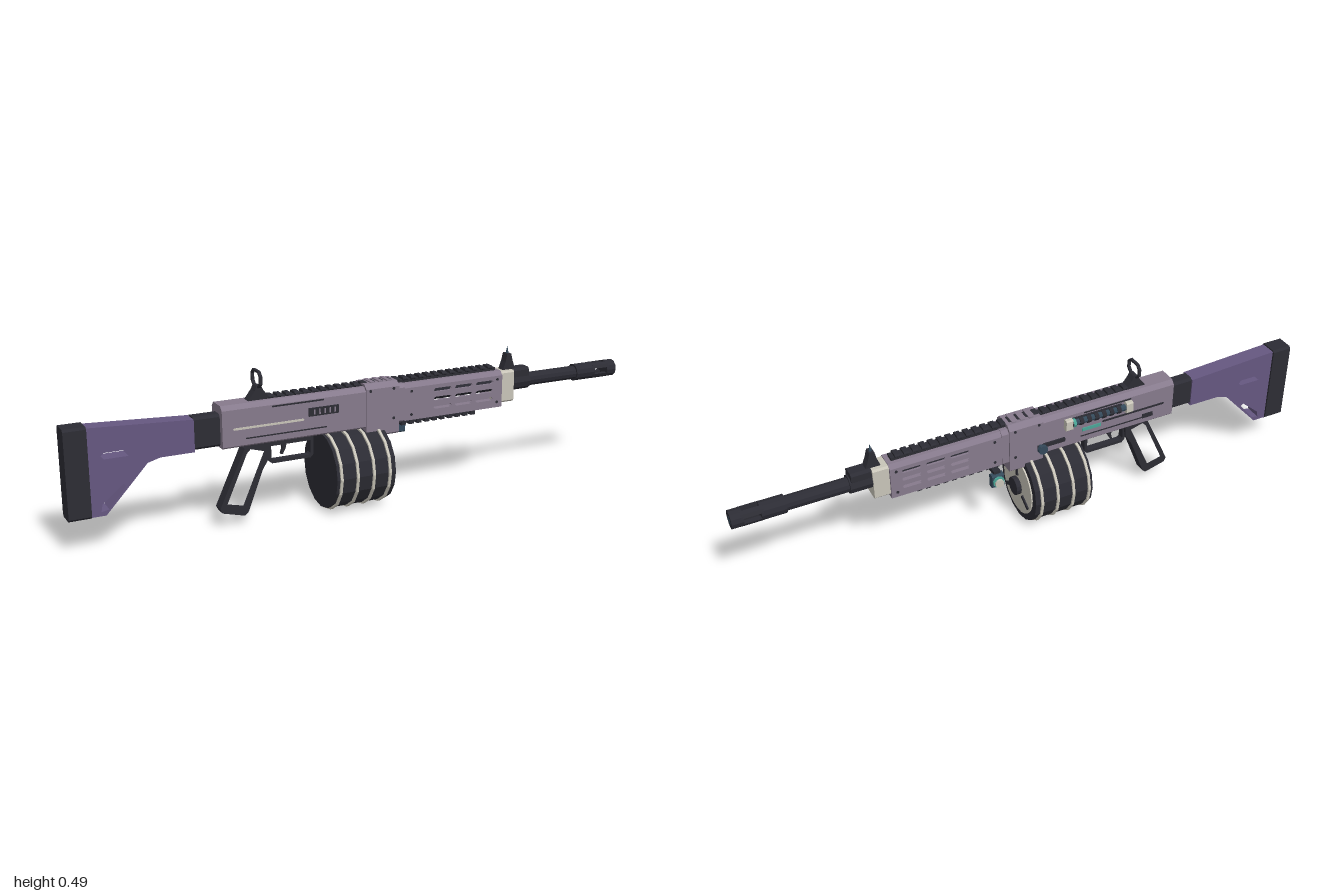
import * as THREE from 'three';

const mat = (name, color) => Object.assign(new THREE.MeshStandardMaterial({ color }), { name });

export function createModel() {
  const root = new THREE.Group();
  root.name = 'drumRifle';
  const mauve = mat('mauve metal', 0x867a8c), purple = mat('purple stock', 0x655780);
  const dark = mat('dark metal', 0x2c2c34), cream = mat('cream', 0xc8c4b8);
  const teal = mat('teal', 0x4aa596), blue = mat('slate blue', 0x34495a);

  // every part is facetted
  function add(name, geo, material) {
    const g = geo.index ? geo.toNonIndexed() : geo;
    g.computeVertexNormals();
    const m = new THREE.Mesh(g, material);
    m.name = name;
    root.add(m);
    return m;
  }
  // box given by its limits
  const box = (name, m, x0, x1, y0, y1, z0, z1) =>
    add(name, new THREE.BoxGeometry(x1 - x0, y1 - y0, z1 - z0)
      .translate((x0 + x1) / 2, (y0 + y1) / 2, (z0 + z1) / 2), m);
  const cylX = (name, m, x0, x1, y, z, r, n = 12, r2 = r) =>
    add(name, new THREE.CylinderGeometry(r2, r, x1 - x0, n).rotateZ(-Math.PI / 2)
      .translate((x0 + x1) / 2, y, z), m);
  const cylZ = (name, m, x, y, z0, z1, r, n = 10) =>
    add(name, new THREE.CylinderGeometry(r, r, z1 - z0, n).rotateX(Math.PI / 2)
      .translate(x, y, (z0 + z1) / 2), m);
  const outline = (pts, Kind = THREE.Shape) => new Kind(pts.map(p => new THREE.Vector2(...p)));
  // side profile pushed from z0 to z1
  function profile(name, m, pts, z0, z1, holes = []) {
    const s = outline(pts);
    s.holes = holes.map(h => outline(h, THREE.Path));
    return add(name, new THREE.ExtrudeGeometry(s, { depth: z1 - z0, bevelEnabled: false }).translate(0, 0, z0), m);
  }
  // end profile (z, y) pushed from x0 to x1
  function section(name, m, pts, x0, x1, holes = []) {
    const s = outline(pts);
    s.holes = holes.map(h => outline(h, THREE.Path));
    return add(name, new THREE.ExtrudeGeometry(s, { depth: x1 - x0, bevelEnabled: false })
      .rotateY(Math.PI / 2).translate(x0, 0, 0), m);
  }
  // rectangle with cut corners
  const chamfer = (w, y0, y1, ct, cb = ct) => [[-w + cb, y0], [w - cb, y0], [w, y0 + cb], [w, y1 - ct],
    [w - ct, y1], [-w + ct, y1], [-w, y1 - ct], [-w, y0 + cb]];
  const slot = (x, y, w, h) => [[x - w / 2, y], [x - w / 2 + h / 2, y - h / 2], [x + w / 2 - h / 2, y - h / 2],
    [x + w / 2, y], [x + w / 2 - h / 2, y + h / 2], [x - w / 2 + h / 2, y + h / 2]];

  // stock
  section('buttPad', dark, chamfer(0.034, 0.11, 0.395, 0.007), -1, -0.93);
  profile('stock', purple, [[-0.93, 0.112], [-0.885, 0.112], [-0.84, 0.16], [-0.75, 0.257], [-0.71, 0.268],
    [-0.6, 0.268], [-0.6, 0.372], [-0.93, 0.39]], -0.028, 0.028,
    [slot(-0.845, 0.298, 0.095, 0.02), [[-0.9, 0.125], [-0.875, 0.13], [-0.82, 0.195], [-0.828, 0.204], [-0.895, 0.148]]]);
  section('stockNeck', dark, chamfer(0.024, 0.272, 0.376, 0.008), -0.6, -0.515);

  // receiver and magazine housing
  section('receiver', mauve, chamfer(0.043, 0.267, 0.403, 0.014, 0.005), -0.515, -0.02);
  section('magazineHousing', mauve, chamfer(0.046, 0.235, 0.412, 0.016, 0.006), -0.02, 0.1);
  section('housingCollar', mauve, chamfer(0.041, 0.27, 0.398, 0.012, 0.005), 0.1, 0.125);
  box('ejectionPort', dark, -0.225, -0.12, 0.335, 0.362, 0.043, 0.048);
  for (let i = 0; i < 5; i++)
    box('portRib', mauve, -0.208 + i * 0.018, -0.203 + i * 0.018, 0.34, 0.357, 0.047, 0.049);
  for (const s of [-1, 1]) {
    const z0 = s > 0 ? 0.042 : -0.0445, z1 = z0 + 0.0025;
    profile('sideGroove', s > 0 ? cream : dark, slot(-0.36, 0.327, 0.24, 0.007), z0, z1);
    profile('upperGroove', dark, slot(-0.26, 0.384, 0.18, 0.005), z0, z1);
    profile('lowerGroove', dark, slot(-0.3, 0.293, 0.28, 0.004), z0, z1);
    for (const [x, y] of [[-0.005, 0.39], [0.08, 0.39], [0.08, 0.29]])
      cylZ('housingPin', dark, x, y, s * 0.0465 - 0.001, s * 0.0465 + 0.001, 0.005, 8);
  }

  // handguard: slotted side walls around the inner barrel
  const slots = [];
  for (const x of [0.27, 0.352, 0.434]) for (const y of [0.363, 0.333, 0.304]) slots.push(slot(x, y, 0.07, 0.012));
  for (const s of [-1, 1]) {
    profile('handguardSide', mauve, [[0.125, 0.272], [0.505, 0.272], [0.505, 0.382], [0.125, 0.382]],
      s > 0 ? 0.032 : -0.04, s > 0 ? 0.04 : -0.032, slots);
    for (const x of [0.15, 0.485]) for (const y of [0.29, 0.37])
      cylZ('handguardBolt', dark, x, y, s * 0.0405 - 0.001, s * 0.0405 + 0.001, 0.005, 8);
  }
  section('handguardTop', mauve, [[-0.04, 0.38], [0.04, 0.38], [0.028, 0.396], [-0.028, 0.396]], 0.125, 0.505);
  box('handguardFloor', mauve, 0.125, 0.505, 0.27, 0.282, -0.036, 0.036);
  cylX('innerBarrel', dark, 0.12, 0.51, 0.35, 0, 0.03);
  section('handguardCap', cream, chamfer(0.033, 0.282, 0.392, 0.006), 0.5, 0.558);

  // rails
  box('topRail', dark, -0.36, 0.49, 0.395, 0.406, -0.015, 0.015);
  for (let x = -0.35; x < 0.48; x += 0.03)
    section('topRailTooth', dark, chamfer(0.018, 0.402, 0.414, 0.004), x, x + 0.017);
  for (let i = 0; i < 3; i++)
    box('housingRib', mauve, 0.005 + i * 0.03, 0.02 + i * 0.03, 0.408, 0.4155, -0.026, 0.026);
  box('lowerRail', dark, 0.1, 0.405, 0.258, 0.272, -0.014, 0.014);
  for (let x = 0.125; x < 0.4; x += 0.03)
    box('lowerRailTooth', dark, x, x + 0.017, 0.25, 0.264, -0.018, 0.018);

  // barrel and muzzle
  section('gasBlock', dark, chamfer(0.025, 0.32, 0.394, 0.008), 0.558, 0.625);
  cylX('barrelCollar', dark, 0.558, 0.63, 0.345, 0, 0.031, 10);
  cylX('barrel', dark, 0.62, 0.84, 0.345, 0, 0.024);
  cylX('muzzleRear', dark, 0.83, 0.908, 0.345, 0, 0.03);
  cylX('muzzleFront', dark, 0.962, 1, 0.345, 0, 0.03);
  for (const sy of [-1, 1]) for (const sz of [-1, 1])
    section('muzzleBar', dark, [[0.01, 0.01], [0.028, 0.01], [0.022, 0.021], [0.01, 0.028]]
      .map(([z, y]) => [z * sz, 0.345 + y * sy]), 0.9, 0.97);
  cylX('bore', blue, 0.999, 1.0005, 0.345, 0, 0.014);

  // sights
  profile('rearSightBase', dark, [[-0.42, 0.4], [-0.34, 0.4], [-0.365, 0.432], [-0.373, 0.447], [-0.388, 0.447], [-0.395, 0.432]], -0.016, 0.016);
  section('rearSightRing', dark, chamfer(0.036, 0.442, 0.496, 0.014), -0.386, -0.376, [chamfer(0.03, 0.448, 0.49, 0.011)]);
  profile('frontSightBase', dark, [[0.522, 0.388], [0.575, 0.388], [0.563, 0.42], [0.556, 0.447], [0.54, 0.447], [0.534, 0.42]], -0.014, 0.014);
  add('frontSightPost', new THREE.ConeGeometry(0.006, 0.03, 6).translate(0.548, 0.458, 0), blue);

  // open-framed grip, trigger and guard
  profile('grip', dark, [[-0.435, 0.252], [-0.41, 0.27], [-0.345, 0.27], [-0.35, 0.215], [-0.375, 0.175],
    [-0.428, 0.04], [-0.44, 0.03], [-0.515, 0.05], [-0.522, 0.065]], -0.02, 0.02,
    [[[-0.428, 0.235], [-0.415, 0.248], [-0.37, 0.235], [-0.39, 0.19], [-0.445, 0.065], [-0.498, 0.078]]]);
  profile('triggerGuard', dark, [[-0.352, 0.27], [-0.352, 0.2], [-0.34, 0.187], [-0.205, 0.187], [-0.195, 0.197], [-0.195, 0.27]],
    -0.012, 0.012, [[[-0.342, 0.245], [-0.342, 0.204], [-0.335, 0.197], [-0.21, 0.197], [-0.205, 0.202], [-0.205, 0.245]]]);
  profile('trigger', dark, [[-0.305, 0.25], [-0.285, 0.25], [-0.29, 0.228], [-0.3, 0.21], [-0.306, 0.211], [-0.3, 0.23]], -0.006, 0.006);

  // drum magazine
  const dy = 0.135;
  cylX('drumBody', dark, -0.165, 0.046, dy, 0, 0.127, 16);
  for (const x of [-0.155, -0.097, -0.039, 0.019]) cylX('drumRib', cream, x, x + 0.009, dy, 0, 0.133, 16);
  cylX('drumFace', cream, 0.04, 0.051, dy, 0, 0.102, 24);
  cylX('drumHub', dark, 0.045, 0.068, dy, 0, 0.032, 14);
  for (let i = 0; i < 3; i++) {
    const bar = box('drumSpoke', dark, 0.048, 0.056, 0.043, 0.093, -0.006, 0.006);
    bar.rotation.x = i * Math.PI * 2 / 3;
    bar.position.y = dy;
  }

  // side tube, knob and plates on the right flank
  box('tubeMount', dark, -0.31, -0.12, 0.353, 0.377, -0.05, -0.04);
  cylX('sideTube', blue, -0.33, -0.1, 0.365, -0.054, 0.011, 8);
  for (let x = -0.3; x < -0.13; x += 0.028) cylX('tubeRing', dark, x, x + 0.014, 0.365, -0.054, 0.014, 8);
  cylX('tubeBand', teal, -0.132, -0.122, 0.365, -0.054, 0.015, 8);
  for (const x of [-0.345, -0.12])
    section('tubeEnd', cream, chamfer(0.01, 0.345, 0.385, 0.004).map(([z, y]) => [z + 0.056, y]), x, x + 0.025);
  box('tealPlate', teal, -0.235, -0.165, 0.312, 0.324, -0.046, -0.042);
  box('rearPlate', dark, -0.435, -0.395, 0.29, 0.306, -0.046, -0.042);
  box('handleSlot', dark, -0.1, 0.0, 0.296, 0.31, -0.049, -0.042);
  cylZ('handleStem', blue, -0.01, 0.303, -0.06, -0.04, 0.009);
  cylZ('handleKnob', blue, -0.01, 0.303, -0.07, -0.058, 0.017);

  // small lamp under the handguard
  box('lampArm', dark, 0.138, 0.162, 0.25, 0.264, -0.055, -0.014);
  section('lampBody', blue, chamfer(0.012, 0.206, 0.254, 0.004).map(([z, y]) => [z + 0.052, y]), 0.13, 0.172);
  cylZ('lampRing', teal, 0.151, 0.23, -0.07, -0.062, 0.02);
  cylZ('lampCap', cream, 0.151, 0.228, -0.077, -0.069, 0.015);
  return root;
}
